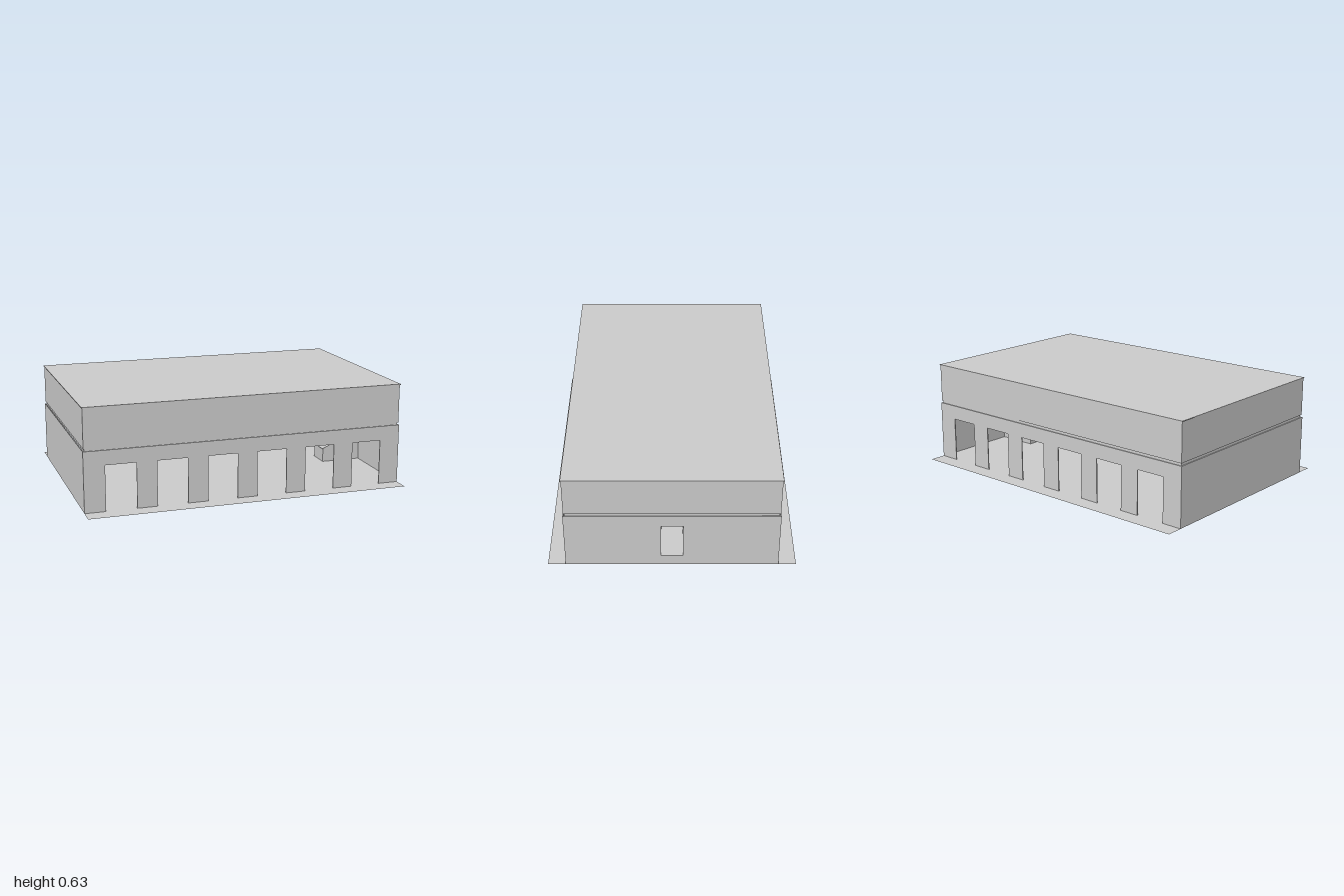
import * as THREE from 'three';

const material = new THREE.MeshStandardMaterial({ color: 0xcccccc, flatShading: true, side: THREE.DoubleSide });
const HX = 1, HZ = 0.63, T = 0.006;     // half length, half depth, panel thickness
const LOWER = 0.37, UPPER = 0.385, TOP = 0.63;

function add(group, name, geometry, x = 0, y = 0, z = 0) {
  const mesh = new THREE.Mesh(geometry, material);
  mesh.name = name;
  mesh.position.set(x, y, z);
  group.add(mesh);
  return mesh;
}

const box = (group, name, w, h, d, x, y, z) => add(group, name, new THREE.BoxGeometry(w, h, d), x, y, z);
const polygon = (points) => new THREE.Shape(points.map(([x, y]) => new THREE.Vector2(x, y)));
const panel = (shape) => new THREE.ExtrudeGeometry(shape, { depth: T, bevelEnabled: false });

// Four thin walls standing around the inset footprint
function wallRing(group, name, y0, y1, inset) {
  const x = HX - inset, z = HZ - inset, h = y1 - y0, y = (y0 + y1) / 2;
  for (const s of [1, -1]) {
    box(group, name + (s > 0 ? 'Front' : 'Back'), 2 * x, h, T, 0, y, s * (z - T / 2));
    box(group, name + (s > 0 ? 'Left' : 'Right'), T, h, 2 * (z - T), s * (x - T / 2), y, 0);
  }
}

// Long wall with six doorways open down to the ground
function arcadeShape() {
  const points = [[-HX, 0]];
  for (let i = 0; i < 6; i++) {
    const a = -0.872 + i * 0.3115, b = a + 0.187;
    points.push([a, 0], [a, 0.28], [b, 0.28], [b, 0]);
  }
  points.push([HX, 0], [HX, LOWER], [-HX, LOWER]);
  return polygon(points);
}

export function createModel() {
  const group = new THREE.Group();
  group.name = 'building';

  // Ground sheet
  const ground = add(group, 'groundSheet', new THREE.PlaneGeometry(2 * HX, 1.47));
  ground.rotation.x = -Math.PI / 2;

  // Lower walls
  add(group, 'frontArcade', panel(arcadeShape()), 0, 0, HZ - T);
  add(group, 'backArcade', panel(arcadeShape()), 0, 0, -HZ);
  box(group, 'rightWall', T, LOWER, 2 * (HZ - T), -HX + T / 2, LOWER / 2, 0);

  // End wall with the hatch
  const end = polygon([[-HZ + T, 0], [HZ - T, 0], [HZ - T, LOWER], [-HZ + T, LOWER]]);
  end.holes.push(polygon([[-0.065, 0.07], [-0.065, 0.295], [0.065, 0.295], [0.065, 0.07]]));
  add(group, 'leftWall', panel(end), HX - T, 0, 0).rotation.y = Math.PI / 2;

  // Recessed joint, upper walls and flat roof
  wallRing(group, 'joint', LOWER - 0.004, UPPER + 0.004, 0.01);
  wallRing(group, 'upperWall', UPPER, TOP - 0.003, 0.004);
  box(group, 'roof', 2 * HX, 0.005, 2 * HZ, 0, TOP - 0.0025, 0);

  // Chute inside the hatch: sloping cheeks, floor and low end board
  const chute = new THREE.Group();
  chute.name = 'chute';
  group.add(chute);
  const x0 = 0.735, x1 = HX - T;
  const cheek = polygon([[x0, 0], [x1, 0], [x1, 0.2], [x0, 0.09]]);
  add(chute, 'cheekFront', panel(cheek), 0, 0, 0.065);
  add(chute, 'cheekBack', panel(cheek), 0, 0, -0.065 - T);
  box(chute, 'chuteFloor', x1 - x0, T, 0.13, (x0 + x1) / 2, 0.07 - T / 2, 0);
  box(chute, 'endBoard', T, 0.085, 0.13, x0 + T / 2, 0.0425, 0);

  return group;
}
